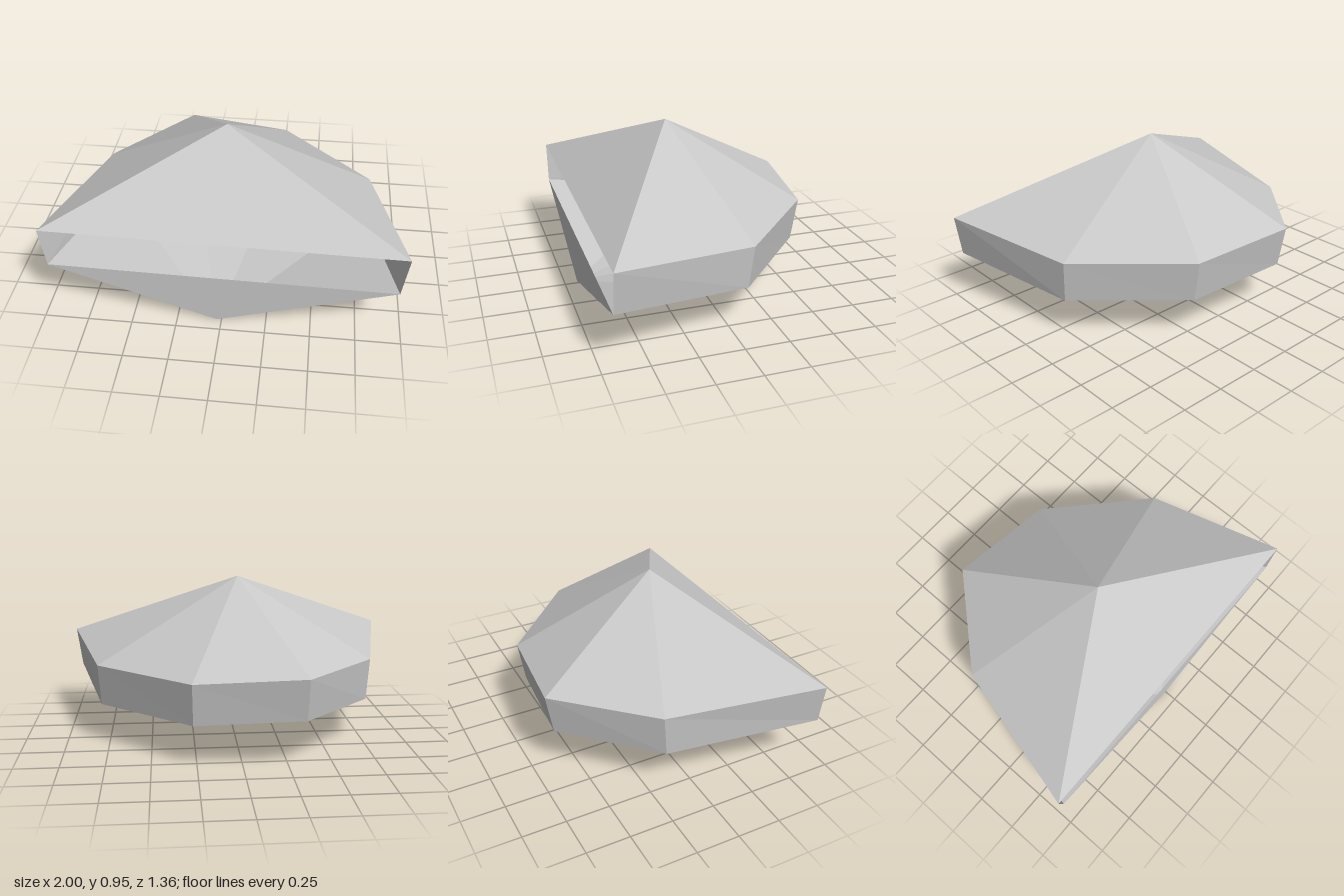
import * as THREE from 'three';

export function createModel() {
  const shellGrey = new THREE.MeshStandardMaterial({ color: 0xc8c8c8, side: THREE.DoubleSide, flatShading: true });
  shellGrey.name = 'shellGrey';

  // Rims run from the front left corner, around the back, to the front right corner
  const upperRim = [
    [1, 0.535, 0.675], [0.805, 0.475, -0.12], [0.275, 0.48, -0.61],
    [-0.345, 0.513, -0.68], [-0.78, 0.498, -0.19], [-1, 0.56, 0.675],
  ];
  const lowerRim = [
    [0.967, 0.298, 0.675], [0.79, 0.235, -0.095], [0.27, 0.24, -0.572],
    [-0.34, 0.273, -0.637], [-0.768, 0.25, -0.165], [-0.967, 0.323, 0.675],
  ];
  const peak = [-0.027, 0.955, 0.115];
  const keel = [-0.027, 0, 0.675];

  const group = new THREE.Group();
  group.name = 'openShell';
  const addPart = (name, triangles) => {
    const geometry = new THREE.BufferGeometry();
    geometry.setAttribute('position', new THREE.Float32BufferAttribute(triangles.flat(2), 3));
    geometry.computeVertexNormals();
    const mesh = new THREE.Mesh(geometry, shellGrey);
    mesh.name = name;
    group.add(mesh);
  };

  const roof = [], wall = [], floor = [];
  for (let i = 0; i < upperRim.length - 1; i++) {
    const [a, b, c, d] = [upperRim[i], upperRim[i + 1], lowerRim[i], lowerRim[i + 1]];
    roof.push([peak, a, b]);
    wall.push([a, c, d], [a, d, b]);
    floor.push([keel, d, c]);
  }
  // Front facets, leaving the slot between the rims open
  roof.push([peak, upperRim[5], upperRim[0]]);
  floor.push([keel, lowerRim[0], lowerRim[5]]);

  addPart('roof', roof);
  addPart('sideWall', wall);
  addPart('floor', floor);
  return group;
}
